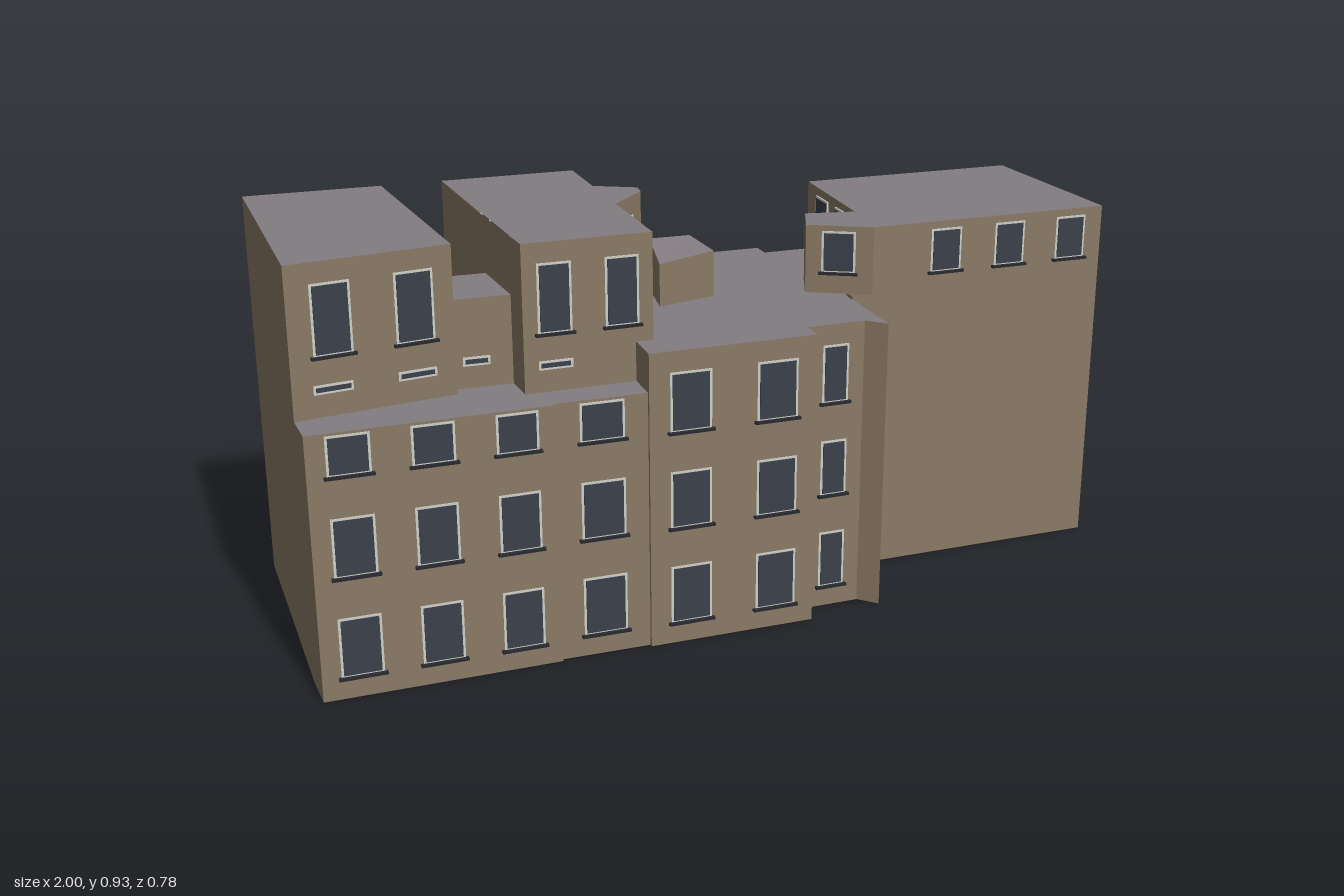
import * as THREE from 'three';

const mat = (name, color, side = THREE.FrontSide) => {
  const m = new THREE.MeshStandardMaterial({ color, side });
  m.name = name;
  return m;
};

export function createModel() {
  const wallMat = mat('tan wall', 0x8b7a65, THREE.DoubleSide);
  const roofMat = mat('grey roof', 0x827c80, THREE.DoubleSide);
  const paneMat = mat('dark glass', 0x3b404b);
  const frameMat = mat('pale frame', 0xcfd0c8);
  const sillMat = mat('dark sill', 0x282a30);
  const model = new THREE.Group();
  model.name = 'building';

  const add = (name, geo, material, parent = model) => {
    const m = new THREE.Mesh(geo, material);
    m.name = name;
    parent.add(m);
    return m;
  };

  // Flat four-cornered faces
  const quads = (name, list, material) => {
    const pos = [];
    for (const [a, b, c, d] of list) pos.push(...a, ...b, ...c, ...a, ...c, ...d);
    const g = new THREE.BufferGeometry();
    g.setAttribute('position', new THREE.Float32BufferAttribute(pos, 3));
    g.computeVertexNormals();
    add(name, g, material);
  };

  // Upright walls along a plan line of [x, z] points
  const walls = (name, pts, y0, y1) => quads(name, pts.slice(1).map((q, i) => {
    const p = pts[i];
    return [[p[0], y0, p[1]], [q[0], y0, q[1]], [q[0], y1, q[1]], [p[0], y1, p[1]]];
  }), wallMat);

  // Flat slab over a plan outline
  const slab = (name, pts, y, material = roofMat) => {
    const s = new THREE.Shape(pts.map(([x, z]) => new THREE.Vector2(x, -z)));
    add(name, new THREE.ShapeGeometry(s).rotateX(-Math.PI / 2).translate(0, y, 0), material);
  };

  const box = new THREE.BoxGeometry(1, 1, 1);
  // Windows on the wall from a to b (left to right seen from outside);
  // each is placed by its x, or by its z on walls running along z
  const windows = (a, b, centres, width, rows, { panes = 1, sill = true } = {}) => {
    const dx = b[0] - a[0], dz = b[1] - a[1];
    const k = Math.abs(dx) > Math.abs(dz) ? 0 : 1;
    for (const c of centres) for (const [y0, y1] of rows) {
      const t = (c - a[k]) / (b[k] - a[k]), h = y1 - y0;
      const g = new THREE.Group();
      g.name = 'window';
      g.position.set(a[0] + dx * t, y0, a[1] + dz * t);
      g.rotation.y = Math.atan2(-dz, dx);
      model.add(g);
      const part = (name, m, x, y, z, w, hh, d) => {
        const p = add(name, box, m, g);
        p.position.set(x, y, z);
        p.scale.set(w, hh, d);
      };
      part('windowFrame', frameMat, 0, h / 2, 0, width, h, 0.004);
      const pw = (width - 0.006) / panes;
      for (let i = 0; i < panes; i++)
        part('windowPane', paneMat, (i - (panes - 1) / 2) * pw, h / 2, 0, pw - 0.005, h - 0.01, 0.007);
      if (sill) part('windowSill', sillMat, 0, -0.001, 0.003, width + 0.012, 0.006, 0.014);
    }
  };

  const LOW = 0.60, MID = 0.69, HIGH = 0.93, EAST = 0.853;

  // Street front, in shallow steps
  const frontA = [[-0.98, 0.378], [-0.455, 0.366]];
  const frontB = [[-0.455, 0.358], [-0.25, 0.356]];
  const frontC = [[-0.25, 0.364], [0.14, 0.357]];
  const frontD = [[0.14, 0.3], [0.28, 0.296]];
  walls('frontWallLow', [[-0.986, 0.29], ...frontA, ...frontB], 0, LOW);
  walls('frontWall', [frontB[1], ...frontC, ...frontD, [0.32, 0.335], [0.32, 0.115]], 0, MID);
  walls('terraceStep', [[-0.25, 0.364], [-0.25, 0.27]], LOW, MID);

  // Left end, light well and back
  walls('leftEndWall', [[-0.986, 0.29], [-1, -0.35], [-0.68, -0.356], [-0.652, 0.015]], 0, HIGH);
  walls('leftUpperWalls', [[-0.652, 0.015], [-0.635, 0.23], [-0.986, 0.29]], LOW, HIGH);
  walls('lightWellWall', [[-0.652, 0.015], [-0.518, 0.015]], 0, 0.8);
  walls('lightWellFront', [[-0.638, 0.2], [-0.505, 0.2]], LOW, 0.8);
  walls('middleBackWall', [[-0.518, 0.015], [-0.535, -0.361], [-0.21, -0.37]], 0, HIGH);
  walls('backWall', [[-0.21, -0.37], [0.28, -0.378], [0.28, -0.328], [0.41, -0.33]], 0, MID);
  const tower = [[-0.518, 0.015], [-0.5, 0.28], [-0.21, 0.272], [-0.21, 0], [-0.12, -0.1],
    [-0.115, -0.14], [-0.21, -0.19], [-0.21, -0.37]];
  walls('middleUpperWalls', tower, LOW, HIGH);

  // Right wing, with an angled upper end over the terrace
  const base = [[0.42, -0.382], [0.985, -0.392], [0.993, 0.1], [0.33, 0.115], [0.33, -0.33], [0.41, -0.33], [0.42, -0.382]];
  const wing = [[0.42, -0.382], [0.985, -0.392], [0.993, 0.1], [0.38, 0.114], [0.24, 0.04],
    [0.28, -0.065], [0.4, -0.042], [0.42, -0.382]];
  walls('rightWingBase', base, 0, MID);
  walls('rightWingTop', wing, MID, EAST);
  slab('rightWingFloor', base.slice(0, -1), 0, wallMat);

  // Roofs
  slab('rightWingRoof', wing.slice(0, -1), EAST);
  slab('leftRoof', [[-1, -0.35], [-0.68, -0.356], [-0.635, 0.23], [-0.986, 0.29]], HIGH);
  slab('middleRoof', [[-0.535, -0.361], ...tower.slice(1)], HIGH);
  slab('lightWellRoof', [[-0.652, 0.015], [-0.518, 0.015], [-0.505, 0.2], [-0.638, 0.2]], 0.8);
  slab('frontTerrace', [[-0.986, 0.29], ...frontA, ...frontB, [-0.25, 0.27], [-0.5, 0.2], [-0.635, 0.2]], LOW);
  slab('terrace', [[-0.25, 0.27], ...frontC, ...frontD, [0.32, 0.335], [0.32, 0.11], [0.41, -0.33],
    [0.28, -0.328], [0.28, -0.378], [-0.21, -0.37], [-0.21, 0.27]], MID);

  // Roof hut with a pitched back, and the leaning roof plane by the tower
  const hut = [[-0.12, 0.04], [0.025, 0], [0, -0.1], [-0.05, -0.185], [-0.1, -0.1], [-0.12, 0.04]];
  const hutTop = [0.79, 0.8, 0.815, 0.765, 0.815, 0.79];
  quads('hutWalls', hut.slice(1).map((q, i) => [
    [hut[i][0], MID, hut[i][1]], [q[0], MID, q[1]],
    [q[0], hutTop[i + 1], q[1]], [hut[i][0], hutTop[i], hut[i][1]]]), wallMat);
  const top = (i) => [hut[i][0], hutTop[i], hut[i][1]];
  quads('hutRoof', [[top(0), top(1), top(2), top(4)], [top(4), top(2), top(3), top(3)]], roofMat);
  quads('leaningRoof', [[[-0.21, 0.91, -0.29], [-0.21, 0.87, -0.19], [-0.11, MID, -0.14], [-0.11, MID, -0.22]]], roofMat);

  // Front windows
  const rows = [[0.05, 0.187], [0.28, 0.413], [0.505, 0.642]];
  const cutRows = [rows[0], rows[1], [0.505, 0.594]];
  windows(...frontA, [-0.893, -0.718, -0.54], 0.092, cutRows);
  windows(...frontB, [-0.353], 0.1, cutRows);
  windows(...frontC, [-0.155, 0.047], 0.096, rows);
  windows(...frontD, [0.21], 0.064, rows);
  const upper = [[0.73, 0.885]], slit = [[0.65, 0.67]];
  const leftFront = [[-0.986, 0.29], [-0.635, 0.23]], midFront = [[-0.5, 0.28], [-0.21, 0.272]];
  windows(...leftFront, [-0.895, -0.72], 0.085, upper);
  windows(...leftFront, [-0.9, -0.72], 0.085, slit, { sill: false });
  windows(...midFront, [-0.43, -0.28], 0.076, upper);
  windows(...midFront, [-0.43], 0.076, slit, { sill: false });
  windows([-0.638, 0.2], [-0.505, 0.2], [-0.585], 0.06, slit, { sill: false });
  windows([-0.21, 0.272], [-0.21, 0], [0.14], 0.13, upper);
  windows([-0.21, 0], [-0.12, -0.1], [-0.045], 0.06, upper);

  // Right wing windows
  const top4 = [[0.73, 0.835]];
  windows([0.38, 0.114], [0.993, 0.1], [0.57, 0.74, 0.907], 0.08, top4);
  windows([0.24, 0.04], [0.38, 0.114], [0.308], 0.08, [[0.74, 0.84]]);
  windows([0.993, 0.1], [0.985, -0.392], [0.025, -0.137, -0.3], 0.08, [...rows, ...top4]);
  windows([0.41, -0.33], [0.4, -0.042], [-0.26, -0.13], 0.08, top4);

  // Back windows, in closer floors with three panes
  const back = [0, 1, 2, 3, 4].map((i) => [0.02 + i * 0.18, 0.125 + i * 0.18]);
  const triple = { panes: 3, sill: false };
  windows([0.985, -0.392], [0.42, -0.382], [0.9, 0.515], 0.165, back.map(([a, b]) => [a - 0.005, b - 0.005]), triple);
  windows([0.41, -0.33], [0.28, -0.328], [0.345], 0.075, back.slice(0, 4), { panes: 2, sill: false });
  windows([0.28, -0.378], [-0.21, -0.37], [0.21], 0.08, back.slice(0, 4), { panes: 2, sill: false });
  windows([0.28, -0.378], [-0.21, -0.37], [0.05], 0.15, back.slice(0, 4), triple);
  const midBack = [[-0.21, -0.37], [-0.535, -0.361]], leftBack = [[-0.68, -0.356], [-1, -0.35]];
  windows(...midBack, [-0.445], 0.15, back, triple);
  windows(...midBack, [-0.285], 0.14, back.slice(4), triple);
  windows(...leftBack, [-0.76], 0.145, back, triple);
  windows(...leftBack, [-0.92], 0.145, back.slice(4), triple);
  windows([-0.518, 0.015], [-0.652, 0.015], [-0.585], 0.065, rows);

  return model;
}
